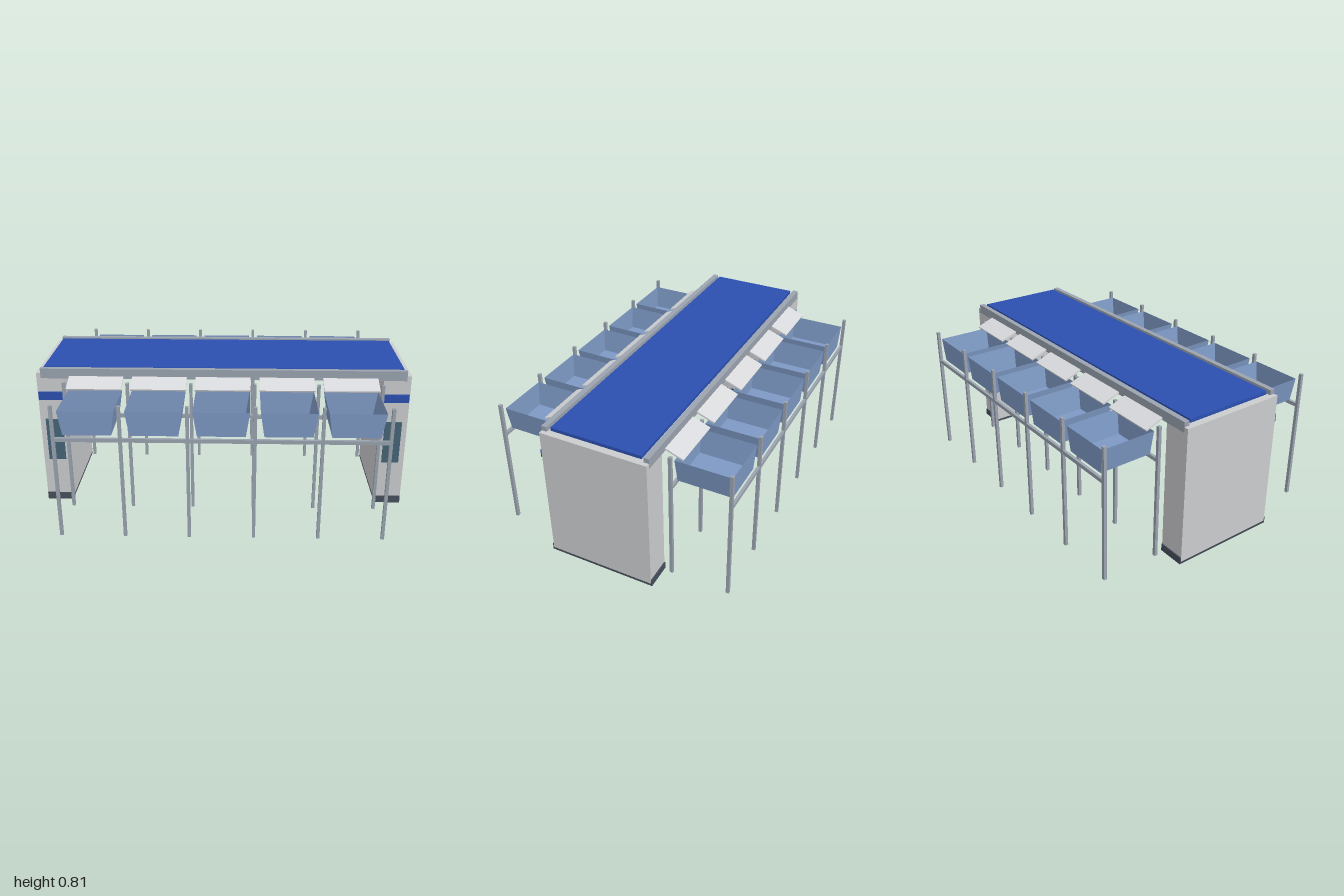
import * as THREE from 'three';

const mat = (name, color, side = THREE.FrontSide) => {
  const m = new THREE.MeshStandardMaterial({ color, side });
  m.name = name;
  return m;
};

export function createModel() {
  const model = new THREE.Group();
  model.name = 'sortingConveyor';

  const panel = mat('light grey panel', 0xcbccce);
  const flapGrey = mat('pale flap', 0xd8d9dc);
  const steel = mat('steel grey', 0x9aa3af);
  const blue = mat('belt blue', 0x2b4fb0);
  const glass = mat('dark teal glass', 0x466478);
  const dark = mat('dark plinth', 0x484f5c);
  const binBlue = mat('bin blue', 0x7d99c4, THREE.DoubleSide);

  // Box given by its min and max on each axis
  const box = (name, material, [x0, x1], [y0, y1], [z0, z1], parent = model) => {
    const mesh = new THREE.Mesh(new THREE.BoxGeometry(x1 - x0, y1 - y0, z1 - z0), material);
    mesh.position.set((x0 + x1) / 2, (y0 + y1) / 2, (z0 + z1) / 2);
    mesh.name = name;
    parent.add(mesh);
    return mesh;
  };

  // Belt
  box('belt', blue, [-0.967, 0.967], [0.785, 0.803], [-0.248, 0.248]);

  // End cabinets with plinth, stripe and window on the front
  for (const s of [-1, 1]) {
    const span = (a, b) => (s > 0 ? [a, b] : [-b, -a]);
    box('cabinet', panel, span(0.855, 1), [0.035, 0.78], [-0.292, 0.292]);
    box('plinth', dark, span(0.856, 0.999), [0.02, 0.06], [-0.298, 0.298]);
    box('stripe', blue, span(0.856, 0.996), [0.63, 0.675], [0.292, 0.301]);
    box('window', glass, span(0.878, 0.97), [0.273, 0.515], [0.292, 0.301]);
  }

  // Open tapered bin: a box without its top face, narrowed at the bottom
  const binGeometry = new THREE.BoxGeometry(0.286, 0.132, 0.3);
  const pos = binGeometry.attributes.position;
  for (let i = 0; i < pos.count; i++) {
    if (pos.getY(i) < 0) {
      pos.setX(i, pos.getX(i) * 0.86);
      pos.setZ(i, pos.getZ(i) * 0.965);
    }
  }
  const index = Array.from(binGeometry.index.array);
  index.splice(12, 6);
  binGeometry.setIndex(index);
  binGeometry.clearGroups();
  binGeometry.computeVertexNormals();

  // Both long sides: belt rail, bin rack, bins and chute flaps
  for (const s of [-1, 1]) {
    const side = new THREE.Group();
    side.name = s > 0 ? 'frontRack' : 'backRack';
    model.add(side);
    const w = 0.0085;

    box('beltRail', steel, [-0.977, 0.977], [0.752, 0.806],
      s > 0 ? [0.264, 0.293] : [-0.293, -0.264], side);

    for (const z of [0.331 * s, 0.647 * s]) {
      box('rackRail', steel, [-0.852, 0.852], [0.547, 0.567], [z - w + 0.001, z + w - 0.001], side);
      for (let i = 0; i < 6; i++) {
        const x = -0.847 + i * 0.3388;
        box('post', steel, [x - w, x + w], [0, 0.742], [z - w, z + w], side);
      }
    }

    for (let i = 0; i < 5; i++) {
      const x = (i - 2) * 0.3388;
      const bin = new THREE.Mesh(binGeometry, binBlue);
      bin.name = 'bin';
      bin.position.set(x, 0.641, 0.489 * s);
      side.add(bin);

      const flap = box('chuteFlap', flapGrey, [x - 0.146, x + 0.146], [-0.0045, 0.0045], [-0.054, 0.054], side);
      flap.position.set(x, 0.744, 0.338 * s);
      flap.rotation.x = 0.36 * s;
    }
  }

  return model;
}
